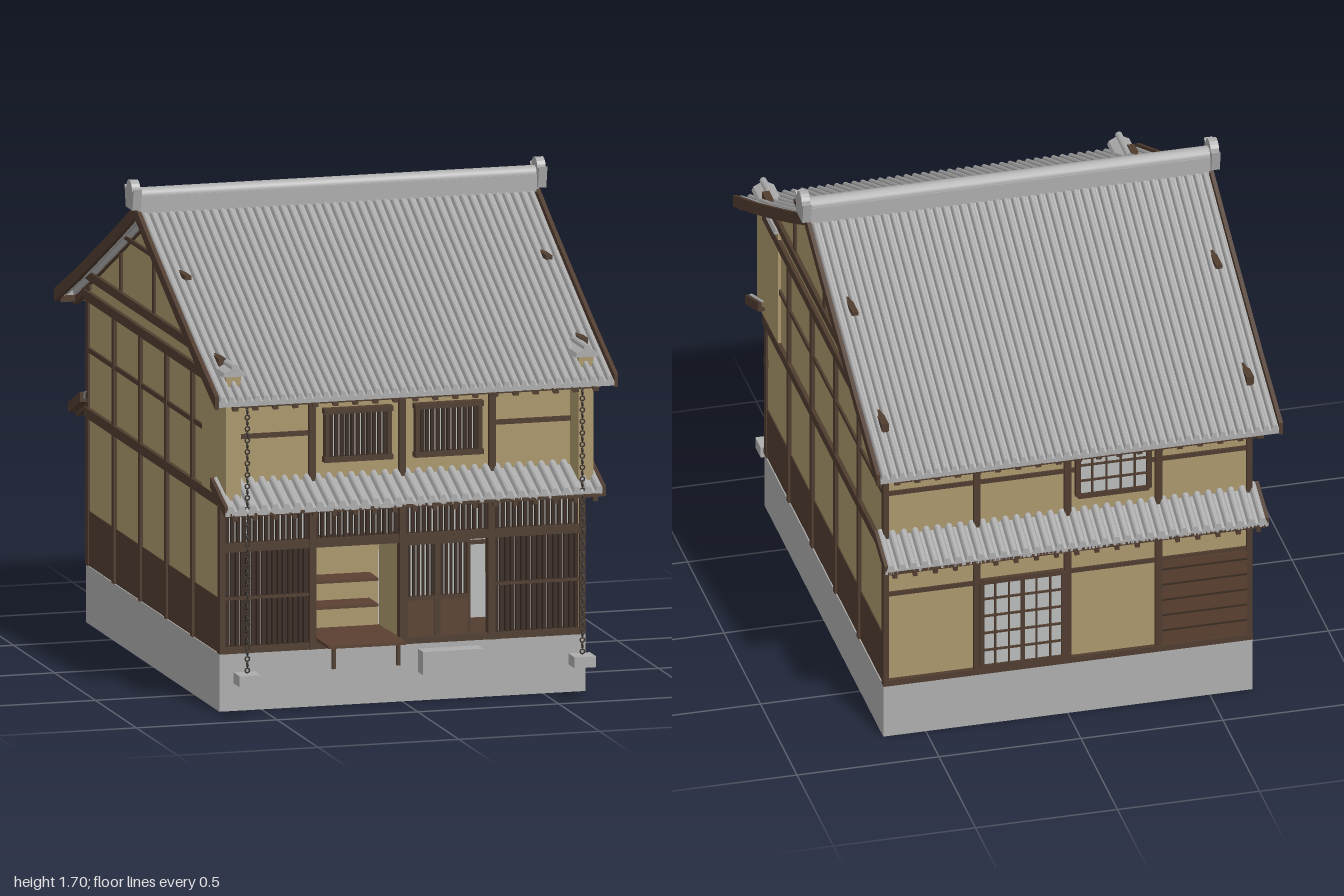
import * as THREE from 'three';
import { mergeGeometries } from 'three/addons/utils/BufferGeometryUtils.js';

const mat = (name, color, side = THREE.FrontSide) => {
  const m = new THREE.MeshStandardMaterial({ color, side });
  m.name = name;
  return m;
};

export function createModel() {
  const root = new THREE.Group();
  root.name = 'townhouse';
  const wood = mat('dark timber', 0x503c2f);
  const lath = mat('lattice timber', 0x3a2c22);
  const plank = mat('plank wood', 0x5a4031);
  const plaster = mat('ochre plaster', 0xab976c);
  const tile = mat('roof tile', 0xacacac, THREE.DoubleSide);
  const stone = mat('foundation stone', 0xadadad);
  const paper = mat('window paper', 0xb9bcbc);
  const iron = mat('rain chain', 0x3f3832);

  const add = (name, geo, m, parent = root) => {
    const mesh = new THREE.Mesh(geo, m);
    mesh.name = name;
    parent.add(mesh);
    return mesh;
  };
  const boxGeo = (x0, x1, y0, y1, z0, z1) =>
    new THREE.BoxGeometry(x1 - x0, y1 - y0, z1 - z0)
      .translate((x0 + x1) / 2, (y0 + y1) / 2, (z0 + z1) / 2);
  const box = (name, m, ...b) => add(name, boxGeo(...b), m);
  // outline in (z, y), extruded along x around a centre
  const sideExtrude = (pts, width, cx) =>
    new THREE.ExtrudeGeometry(new THREE.Shape(pts.map(p => new THREE.Vector2(...p))),
      { depth: width, bevelEnabled: false })
      .translate(0, 0, -width / 2).rotateY(-Math.PI / 2).translate(cx, 0, 0);
  // strip of given depth hanging under a slope profile
  const strip = (prof, drop, depth, width, cx) => sideExtrude([
    ...prof.map(([z, y]) => [z, y - drop]),
    ...prof.slice().reverse().map(([z, y]) => [z, y - drop - depth])], width, cx);
  // evenly spaced upright bars
  const lattice = (name, m, x0, x1, y0, y1, z0, z1, step, w) => {
    const n = Math.round((x1 - x0) / step), bars = [];
    for (let i = 0; i < n; i++) {
      const x = x0 + (i + 0.5) * (x1 - x0) / n;
      bars.push(boxGeo(x - w / 2, x + w / 2, y0, y1, z0, z1));
    }
    return add(name, mergeGeometries(bars), m);
  };
  // ribbed tile sheet following a slope profile, closed at the eave
  const tileSheet = (prof, width, ribs, r) => {
    const per = 8, nx = ribs * per;
    const rows = [...prof, prof[prof.length - 1]];
    const geo = new THREE.PlaneGeometry(width, 1, nx, rows.length - 1);
    const p = geo.attributes.position;
    for (let j = 0; j < rows.length; j++) for (let i = 0; i <= nx; i++) {
      const u = (i % per) / per * 2 - 1;
      const h = r * Math.sqrt(Math.max(0, 1 - (u / 0.7) ** 2));
      const k = j * (nx + 1) + i, last = j === rows.length - 1;
      p.setY(k, rows[j][1] + (last ? -0.015 : h));
      p.setZ(k, rows[j][0]);
    }
    const flat = geo.toNonIndexed();
    flat.computeVertexNormals();
    return flat;
  };

  // foundation, open underneath
  box('foundationFront', stone, -0.65, 0.65, 0, 0.2, 0.803, 0.81);
  box('foundationBack', stone, -0.65, 0.65, 0, 0.2, -0.82, -0.813);
  box('foundationFloor', stone, -0.645, 0.645, 0.19, 0.2, -0.815, 0.805);
  for (const s of [-1, 1]) {
    const x = s * 0.6465;
    box('foundationSide', stone, x - 0.0035, x + 0.0035, 0, 0.2, -0.813, 0.803);
  }

  // main roof slopes
  const slope = [[0, 1.61], [0.2, 1.507], [0.4, 1.408], [0.7, 1.262], [0.985, 1.132]];
  const pentFront = [[0.79, 0.812], [0.97, 0.742]];
  const pentBack = [[0.8, 0.806], [0.945, 0.742]];
  const lower = (prof, d) => prof.map(([z, y]) => [z, y - d]);
  for (const back of [false, true]) {
    const g = new THREE.Group();
    g.name = back ? 'backRoof' : 'frontRoof';
    if (back) g.rotation.y = Math.PI;
    root.add(g);
    add('roofTiles', tileSheet(lower(slope, 0.024), 1.405, 46, 0.02), tile, g);
    add('roofDeck', strip(slope, 0.036, 0.008, 1.3, 0), wood, g);
    for (const s of [-1, 1]) add('bargeboard', strip(slope, 0, 0.045, 0.014, s * 0.709), wood, g);
    add('eaveFascia', boxGeo(-0.7, 0.7, 1.09, 1.11, 0.95, 0.968), wood, g);
    const eave = [[0.78, 1.226], [0.975, 1.137]];
    const pent = back ? pentBack : pentFront;
    add('pentTiles', tileSheet(lower(pent, 0.018), 1.35, 34, 0.02), tile, g);
    add('pentDeck', strip(pent, 0.024, 0.012, 1.33, 0), wood, g);
    for (const s of [-1, 1]) add('pentEdge', strip(pent, 0, 0.035, 0.012, s * 0.671), wood, g);
    const rafters = [], pentRafters = [];
    for (let i = 0; i < 19; i++) {
      const x = -0.64 + i * 1.28 / 18;
      rafters.push(strip(eave, 0.04, 0.022, 0.02, x));
      pentRafters.push(strip(pent, 0.035, 0.016, 0.016, x));
    }
    add('eaveRafters', mergeGeometries(rafters), wood, g);
    add('pentRafters', mergeGeometries(pentRafters), wood, g);
  }

  // ridge with end ornaments
  box('ridgeBase', tile, -0.71, 0.71, 1.585, 1.645, -0.032, 0.032);
  add('ridgeCap', new THREE.CylinderGeometry(0.027, 0.027, 1.42, 12).rotateZ(Math.PI / 2)
    .translate(0, 1.645, 0), tile);
  const orn = [[-0.042, 1.6], [0.042, 1.6], [0.056, 1.675], [0.04, 1.665]];
  for (let i = 0; i <= 8; i++) {
    const a = i / 8 * Math.PI;
    orn.push([0.036 * Math.cos(a), 1.665 + 0.035 * Math.sin(a)]);
  }
  orn.push([-0.04, 1.665], [-0.056, 1.675]);
  for (const s of [-1, 1]) add('ridgeEnd', sideExtrude(orn, 0.03, s * 0.72), tile);

  // gable sides: plaster, wainscot, posts and beams
  for (const s of [-1, 1]) {
    const bar = (name, m, y0, y1, z0, z1, out) => {
      const a = s * 0.63, b = s * out;
      box(name, m, Math.min(a, b), Math.max(a, b), y0, y1, z0, z1);
    };
    add('gableWall', sideExtrude([[-0.81, 0.2], [0.8, 0.2], [0.8, 1.17], [0.4, 1.365],
      [0, 1.565], [-0.4, 1.365], [-0.81, 1.165]], 0.02, s * 0.632), plaster);
    bar('wainscot', wood, 0.2, 0.39, -0.81, 0.8, 0.646);
    for (const z of [0.48, 0.16, -0.16, -0.48]) bar('sidePost', wood, 0.2, 1.13, z - 0.012, z + 0.012, 0.654);
    bar('cornerPostFront', wood, 0.2, 0.74, 0.79, 0.815, 0.65);
    bar('cornerPostBack', wood, 0.2, 1.17, -0.822, -0.795, 0.65);
    bar('floorBeam', wood, 0.715, 0.75, -0.82, 0.815, 0.656);
    bar('midBeam', wood, 0.943, 0.96, -0.81, 0.61, 0.65);
    bar('wallTopBeam', wood, 1.122, 1.156, -0.83, 0.82, 0.656);
    bar('gableBeam', wood, 1.198, 1.23, -0.82, 0.82, 0.656);
    bar('collarBeam', wood, 1.422, 1.437, -0.4, 0.4, 0.652);
    bar('gablePost', wood, 1.23, 1.57, -0.012, 0.012, 0.65);
    for (const z of [-0.405, 0.405]) bar('gableStrut', wood, 1.23, 1.365, z - 0.009, z + 0.009, 0.65);
    // raised fire wall with tiled cap
    const x = s * 0.626;
    box('wingWall', plaster, x - 0.027, x + 0.027, 0.745, 1.185, 0.61, 0.9);
    const cap = new THREE.Shape([[-0.042, 1.183], [0.042, 1.183], [0.036, 1.197], [0, 1.216], [-0.036, 1.197]]
      .map(p => new THREE.Vector2(...p)));
    add('wingWallCap', new THREE.ExtrudeGeometry(cap, { depth: 0.31, bevelEnabled: false })
      .translate(x, 0, 0.605), tile);
    add('wingWallRidge', new THREE.CylinderGeometry(0.013, 0.013, 0.2, 8).rotateX(Math.PI / 2)
      .translate(x, 1.214, 0.82), tile);
    // rain chain and its stone
    const links = [];
    for (let i = 0; i < 47; i++) links.push(new THREE.TorusGeometry(0.008, 0.0028, 4, 8)
      .rotateY(i % 2 * Math.PI / 2).translate(s * 0.595, 0.17 + i * 0.02, 0.963));
    add('rainChain', mergeGeometries(links), iron);
    box('chainStone', stone, s * 0.595 - 0.038, s * 0.595 + 0.038, 0.12, 0.158, 0.925, 1.0);
  }

  // front, upper storey
  box('upperFrontWall', plaster, -0.63, 0.63, 0.73, 1.17, 0.785, 0.8);
  box('upperFrontBeam', wood, -0.6, 0.6, 1.1, 1.13, 0.79, 0.815);
  for (const x of [-0.32, 0, 0.32]) box('upperFrontPost', wood, x - 0.012, x + 0.012, 0.74, 1.12, 0.79, 0.815);
  for (const s of [-1, 1]) {
    const c = s * 0.465, w = s * 0.161;
    box('upperFrontRail', wood, c - 0.135, c + 0.135, 0.943, 0.96, 0.795, 0.808);
    box('windowPaper', paper, w - 0.11, w + 0.11, 0.86, 1.03, 0.8, 0.806);
    lattice('windowBars', lath, w - 0.105, w + 0.105, 0.86, 1.03, 0.812, 0.826, 0.0195, 0.012);
    for (const y of [0.858, 1.026]) box('windowRail', wood, w - 0.122, w + 0.122, y - 0.009, y + 0.009, 0.8, 0.834);
    for (const e of [-0.111, 0.111]) box('windowStile', wood, w + e - 0.007, w + e + 0.007, 0.86, 1.03, 0.8, 0.83);
  }

  // front, ground storey
  box('frontSill', wood, -0.65, 0.65, 0.2, 0.222, 0.78, 0.818);
  box('frontLintel', wood, -0.65, 0.65, 0.553, 0.582, 0.785, 0.818);
  box('frontTopBeam', wood, -0.65, 0.65, 0.708, 0.735, 0.785, 0.82);
  for (const x of [-0.32, 0, 0.315]) box('frontPost', wood, x - 0.012, x + 0.012, 0.2, 0.73, 0.785, 0.822);
  box('transomPaper', paper, -0.63, 0.63, 0.58, 0.71, 0.775, 0.78);
  lattice('transomBars', lath, -0.63, 0.63, 0.58, 0.71, 0.79, 0.804, 0.02, 0.012);
  for (const s of [-1, 1]) {
    const x0 = s < 0 ? -0.63 : 0.327, x1 = s < 0 ? -0.332 : 0.63;
    box('latticePaper', paper, x0, x1, 0.22, 0.555, 0.775, 0.78);
    lattice('frontLattice', lath, x0, x1, 0.22, 0.555, 0.79, 0.806, 0.0187, 0.0135);
    box('latticeRail', wood, x0, x1, 0.385, 0.395, 0.79, 0.81);
  }

  // open shop bay with shelves and bench
  box('bayBackWall', plaster, -0.32, 0, 0.2, 0.58, 0.5, 0.51);
  box('bayLeftWall', paper, -0.332, -0.325, 0.2, 0.58, 0.51, 0.78);
  box('bayRightWall', plaster, 0.005, 0.012, 0.2, 0.58, 0.51, 0.775);
  box('bayCeiling', wood, -0.332, 0.012, 0.58, 0.59, 0.5, 0.78);
  box('bayFloor', plank, -0.33, 0.01, 0.2, 0.21, 0.5, 0.79);
  for (const y of [0.3, 0.39]) box('shelf', plank, -0.292, -0.03, y - 0.005, y + 0.005, 0.51, 0.62);
  box('benchTop', plank, -0.3, -0.025, 0.223, 0.234, 0.72, 0.94);
  for (const x of [-0.277, -0.047]) box('benchLeg', wood, x - 0.006, x + 0.006, 0.15, 0.225, 0.917, 0.929);

  // entrance with sliding doors
  box('entrancePaper', paper, 0.012, 0.305, 0.22, 0.555, 0.765, 0.77);
  box('entranceBase', plank, 0.245, 0.303, 0.222, 0.27, 0.77, 0.785);
  box('entranceHeader', wood, 0.245, 0.303, 0.527, 0.54, 0.77, 0.785);
  for (const x of [0.012, 0.128]) {
    box('doorPanel', plank, x, x + 0.116, 0.222, 0.352, 0.785, 0.8);
    box('doorRail', wood, x, x + 0.116, 0.347, 0.36, 0.785, 0.804);
    box('doorTopRail', wood, x, x + 0.116, 0.54, 0.555, 0.785, 0.804);
    for (const e of [0.005, 0.111]) box('doorStile', wood, x + e - 0.005, x + e + 0.005, 0.222, 0.555, 0.785, 0.804);
    lattice('doorBars', lath, x + 0.008, x + 0.108, 0.355, 0.545, 0.788, 0.798, 0.0167, 0.009);
  }
  box('stepStone', stone, 0.052, 0.265, 0.102, 0.183, 0.823, 0.885);

  // back wall with frame
  box('backWall', plaster, -0.63, 0.63, 0.2, 1.165, -0.81, -0.795);
  for (const x of [-0.32, 0, 0.32]) box('backPost', wood, x - 0.012, x + 0.012, 0.2, 1.15, -0.823, -0.8);
  for (const [y, h] of [[0.21, 0.011], [0.732, 0.018], [1.14, 0.017]])
    box('backBeam', wood, -0.65, 0.65, y - h, y + h, -0.826, -0.8);
  for (const y of [0.555, 0.951]) box('backRail', wood, -0.63, 0.63, y - 0.008, y + 0.008, -0.817, -0.8);
  // paned windows at the back
  for (const [name, x0, x1, y0, y1, nx, ny] of [
    ['backDoor', 0.015, 0.305, 0.225, 0.56, 6, 5], ['backWindow', -0.285, -0.035, 0.85, 1.03, 5, 3]]) {
    box(name + 'Paper', paper, x0, x1, y0, y1, -0.82, -0.812);
    const bars = [];
    for (let i = 0; i <= nx; i++) {
      const x = x0 + (x1 - x0) * i / nx, w = i === 0 || i === nx ? 0.009 : i * 2 === nx ? 0.007 : 0.003;
      bars.push(boxGeo(x - w, x + w, y0, y1, -0.828, -0.812));
    }
    for (let i = 0; i <= ny; i++) {
      const y = y0 + (y1 - y0) * i / ny, w = i === 0 || i === ny ? 0.009 : 0.003;
      bars.push(boxGeo(x0, x1, y - w, y + w, -0.828, -0.812));
    }
    add(name + 'Frame', mergeGeometries(bars), wood);
  }
  // boarded shutter at the back
  box('backShutter', plank, -0.63, -0.332, 0.222, 0.55, -0.82, -0.81);
  for (let i = 0; i < 5; i++) box('shutterBatten', lath, -0.63, -0.332, 0.275 + i * 0.06, 0.281 + i * 0.06, -0.824, -0.815);

  return root;
}
